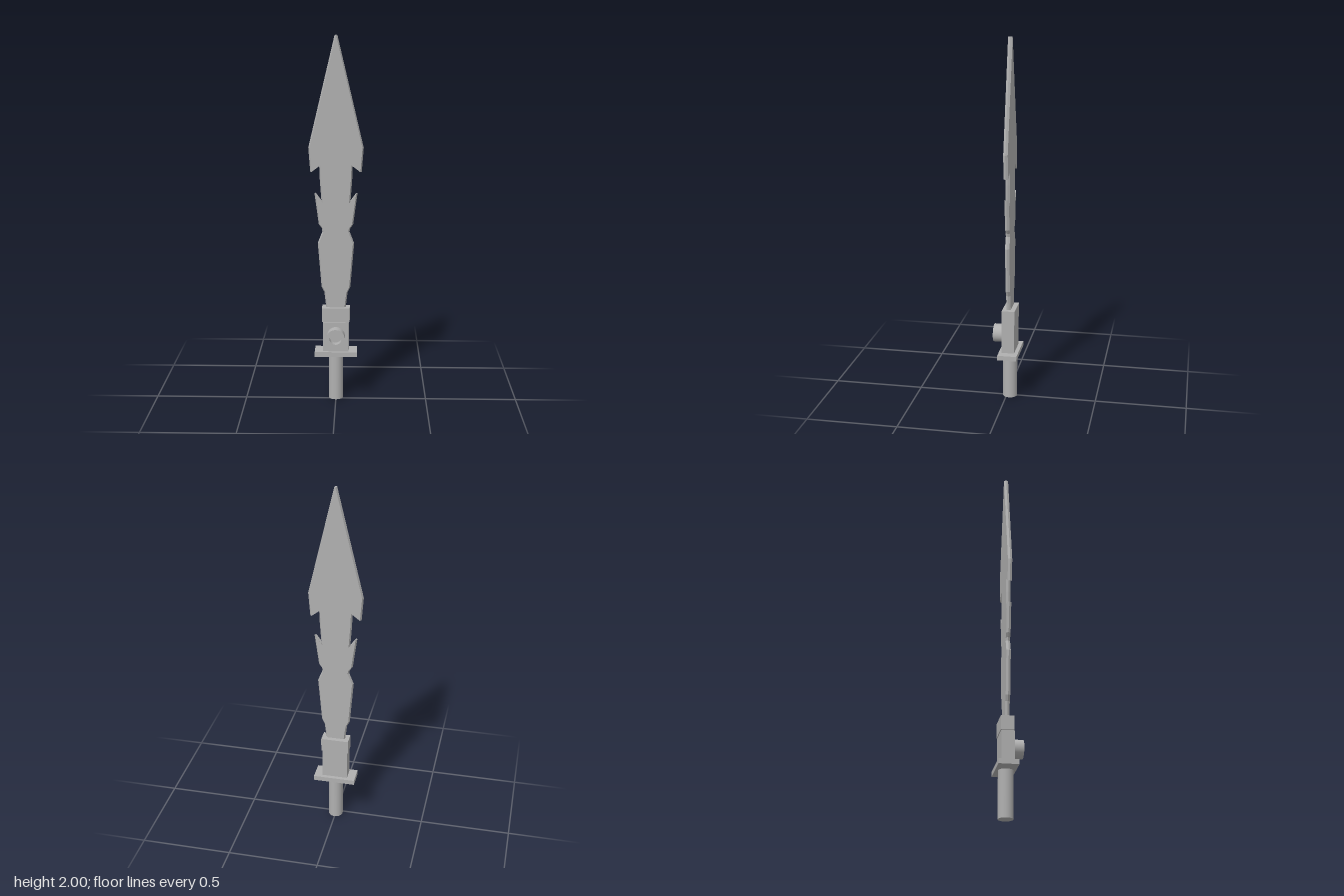
import * as THREE from 'three';

const MID_Z = -0.018;

export function createModel() {
  const grey = new THREE.MeshStandardMaterial({ color: 0xb0b0b0 });
  const model = new THREE.Group();
  model.name = 'sword';

  const add = (name, geometry, x, y, z) => {
    const mesh = new THREE.Mesh(geometry, grey);
    mesh.name = name;
    mesh.position.set(x, y, z);
    model.add(mesh);
    return mesh;
  };
  // box given by half width, then y and z ranges
  const block = (name, hw, y0, y1, z0, z1) =>
    add(name, new THREE.BoxGeometry(hw * 2, y1 - y0, z1 - z0), 0, (y0 + y1) / 2, (z0 + z1) / 2);

  // Handle, guard and hilt
  add('handle', new THREE.CylinderGeometry(0.04, 0.04, 0.255, 32), 0, 0.1275, MID_Z);
  block('guard', 0.116, 0.253, 0.28, -0.073, 0.034);
  block('hiltBlock', 0.071, 0.28, 0.447, -0.052, 0.018);
  block('collar', 0.076, 0.449, 0.526, -0.055, 0.016);
  block('collarSeam', 0.069, 0.446, 0.45, -0.05, 0.014);

  // Hollow stud on the front of the hilt: outer wall, rim, bore and floor
  const wall = (a, b) => new THREE.LatheGeometry([new THREE.Vector2(...a), new THREE.Vector2(...b)], 32);
  const stud = new THREE.Group();
  stud.name = 'stud';
  [
    ['studWall', [0.05, 0], [0.05, 0.054]],
    ['studRim', [0.05, 0.054], [0.034, 0.054]],
    ['studBore', [0.034, 0.054], [0.034, 0.015]],
    ['studFloor', [0.034, 0.015], [0, 0.015]],
  ].forEach(([name, a, b]) => {
    const mesh = new THREE.Mesh(wall(a, b), grey);
    mesh.name = name;
    stud.add(mesh);
  });
  stud.rotation.x = Math.PI / 2;
  stud.position.set(0, 0.37, 0.017);
  model.add(stud);

  // Barbed blade: half outline from base to tip, mirrored
  const edge = 0.007;
  const half = [
    [0.053, 0.52], [0.064, 0.61], [0.079, 0.64], [0.099, 0.886], [0.074, 0.95], [0.077, 0.968],
    [0.093, 0.99], [0.116, 1.162], [0.078, 1.11], [0.087, 1.235], [0.09, 1.315],
    [0.138, 1.278], [0.148, 1.408], [0.0075, 2],
  ].map(([x, y]) => new THREE.Vector2(x - edge, y));
  const mirrored = half.map((p) => new THREE.Vector2(-p.x, p.y)).reverse();
  const thickness = 0.024;
  const blade = new THREE.ExtrudeGeometry(new THREE.Shape([...half, ...mirrored]), {
    depth: thickness, steps: 2, bevelEnabled: false,
  });
  // push the middle ring outwards to form the sharpened edge
  const pos = blade.attributes.position;
  for (let i = 0; i < pos.count; i++) {
    if (Math.abs(pos.getZ(i) - thickness / 2) < 0.001) {
      pos.setX(i, pos.getX(i) + Math.sign(pos.getX(i)) * edge);
    }
  }
  blade.computeVertexNormals();
  add('blade', blade, 0, 0, MID_Z - thickness / 2);

  return model;
}
